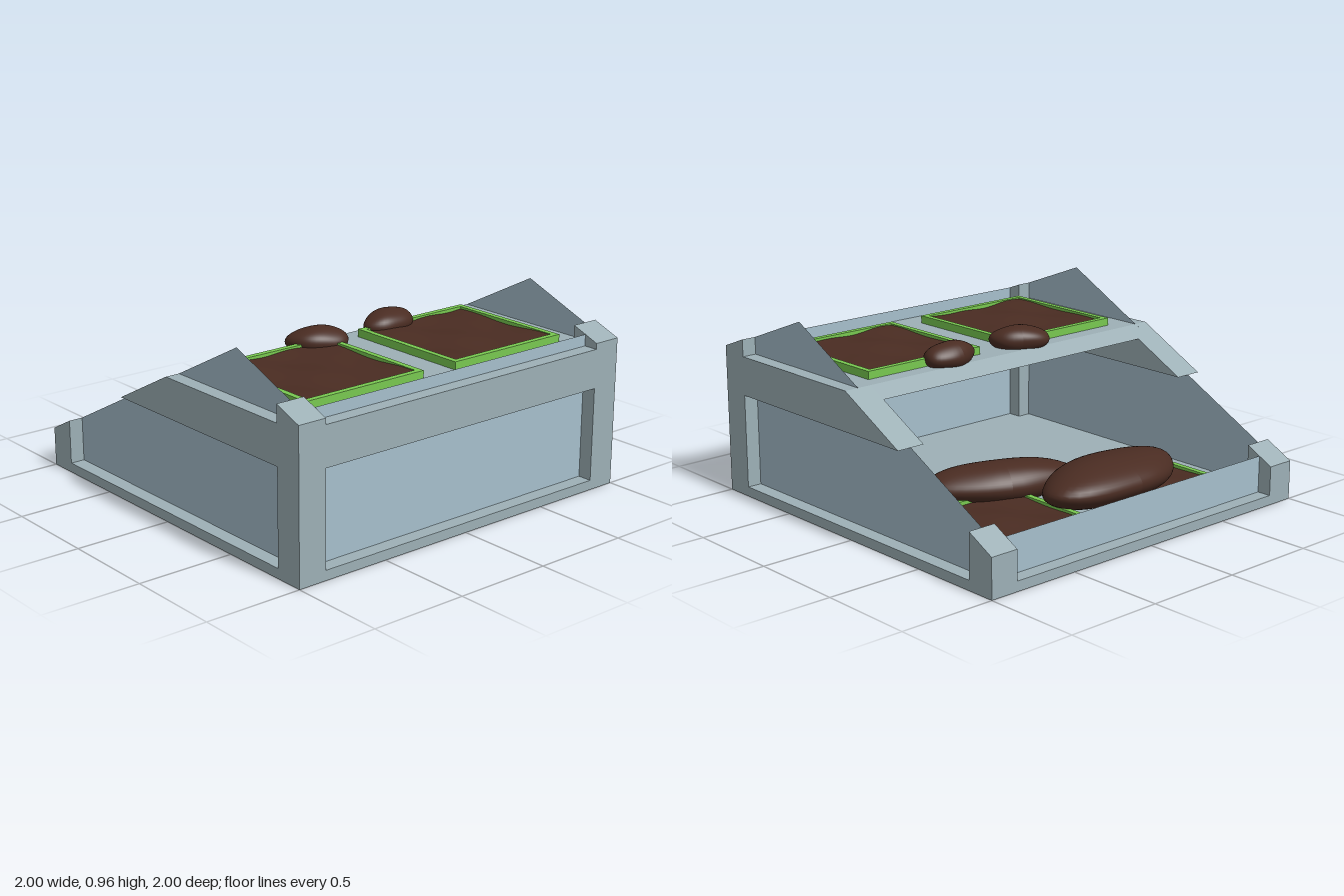
import * as THREE from 'three';

const mat = (color) => new THREE.MeshStandardMaterial({ color });
const FRAME = mat(0x9db0b6);
const PANEL = mat(0xa6bfcc);
PANEL.side = THREE.DoubleSide;
const GREEN = mat(0x78c850);
const SOIL = mat(0x4a2c22);
SOIL.side = THREE.DoubleSide;
const ROCK = mat(0x4a2c22);

// Roof line that cuts every part of the body: rises to a ridge, then falls
const RIDGE = [0.47, 0.965];
const roof = (x) => x < RIDGE[0]
  ? 0.2 + (x + 1) * 0.5204
  : RIDGE[1] - (x - RIDGE[0]) * 0.387;
const roofX = (y) => (y - 0.2) / 0.5204 - 1;

const shapeOf = (pts) => new THREE.Shape(pts.map(([x, y]) => new THREE.Vector2(x, y)));

export function createModel() {
  const model = new THREE.Group();
  const add = (name, geo, material, x = 0, y = 0, z = 0) => {
    const mesh = new THREE.Mesh(geo, material);
    mesh.name = name;
    mesh.position.set(x, y, z);
    model.add(mesh);
    return mesh;
  };
  // Side outline extruded between two depths
  const prism = (name, pts, z0, z1) => add(
    name,
    new THREE.ExtrudeGeometry(shapeOf(pts), { depth: z1 - z0, bevelEnabled: false }),
    FRAME, 0, 0, z0);

  // Base plate
  add('basePlate', new THREE.BoxGeometry(2, 0.05, 2), FRAME, 0, 0.025, 0);

  // Corner posts with sloped tops
  for (const [x0, x1] of [[-1, -0.85], [0.85, 1]]) {
    for (const z0 of [-1, 0.85]) {
      prism('cornerPost', [[x0, 0.05], [x1, 0.05], [x1, roof(x1)], [x0, roof(x0)]], z0, z0 + 0.15);
    }
  }

  // Upper rails
  const railEnd = [[roofX(0.53), 0.53], [0.85, 0.53], [0.85, 0.73], [roofX(0.73), 0.73]];
  prism('sideRail', railEnd, 0.85, 1);
  prism('sideRail', railEnd, -1, -0.85);
  add('endRail', new THREE.BoxGeometry(0.15, 0.2, 1.7), FRAME, 0.925, 0.63, 0);

  // Shelf slab with slanted front edge
  prism('shelf', [[roofX(0.68), 0.68], [0.85, 0.68], [0.85, 0.73], [roofX(0.73), 0.73]], -0.85, 0.85);

  // Thin wall panels running through the middle of the posts
  const W = 0.925;
  for (const z of [-W, W]) {
    const gable = shapeOf([[-W, 0.05], [W, 0.05], [W, roof(W)], RIDGE, [-W, roof(-W)]]);
    add('gablePanel', new THREE.ShapeGeometry(gable), PANEL, 0, 0, z);
  }
  for (const x of [-W, W]) {
    const h = roof(x) - 0.05;
    const geo = new THREE.PlaneGeometry(2 * W, h).rotateY(Math.sign(x) * Math.PI / 2);
    add('endPanel', geo, PANEL, x, 0.05 + h / 2, 0);
  }

  // Planting beds: green border with uneven soil
  const square = (s) => [[-s, -s], [s, -s], [s, s], [-s, s]];
  const border = shapeOf(square(0.35));
  border.holes.push(new THREE.Path(square(0.32).reverse().map(([x, y]) => new THREE.Vector2(x, y))));
  const borderGeo = new THREE.ExtrudeGeometry(border, { depth: 0.04, bevelEnabled: false }).rotateX(-Math.PI / 2);
  const soilGeo = new THREE.PlaneGeometry(0.64, 0.64, 20, 20).rotateX(-Math.PI / 2);
  const sp = soilGeo.attributes.position;
  for (let i = 0; i < sp.count; i++) {
    const x = sp.getX(i), z = sp.getZ(i);
    sp.setY(i, 0.006 * Math.sin(13 * x + 1) * Math.cos(11 * z) + 0.004 * Math.sin(21 * z + 9 * x));
  }
  soilGeo.computeVertexNormals();
  for (const [x, y] of [[-0.45, 0.05], [0.45, 0.73]]) {
    for (const z of [-0.45, 0.45]) {
      add('bedBorder', borderGeo, GREEN, x, y, z);
      add('bedSoil', soilGeo, SOIL, x, y + 0.027, z);
    }
  }

  // Smooth lumpy rocks: [name, centre, half sizes, turn]
  const rocks = [
    ['smallRock', [0.09, 0.765, -0.305], [0.095, 0.07, 0.155], 0.15],
    ['smallRock', [0.105, 0.765, 0.165], [0.1, 0.07, 0.155], -0.49],
    ['largeRock', [-0.47, 0.15, 0.245], [0.215, 0.11, 0.45], 0.09],
    ['largeRock', [-0.1, 0.13, -0.14], [0.17, 0.1, 0.4], -0.38],
  ];
  rocks.forEach(([name, centre, size, turn], k) => {
    const geo = new THREE.SphereGeometry(1, 40, 28);
    const p = geo.attributes.position;
    const v = new THREE.Vector3();
    for (let i = 0; i < p.count; i++) {
      v.fromBufferAttribute(p, i);
      const lump = 1 + 0.035 * Math.sin(3 * v.x + 2 * v.z + k) * Math.cos(3 * v.y + k)
        + 0.02 * Math.sin(5 * v.z - 2 * v.x + 2 * k);
      p.setXYZ(i, v.x * size[0] * lump, v.y * size[1] * lump, v.z * size[2] * lump);
    }
    geo.computeVertexNormals();
    add(name, geo, ROCK, ...centre).rotation.y = turn;
  });

  return model;
}
